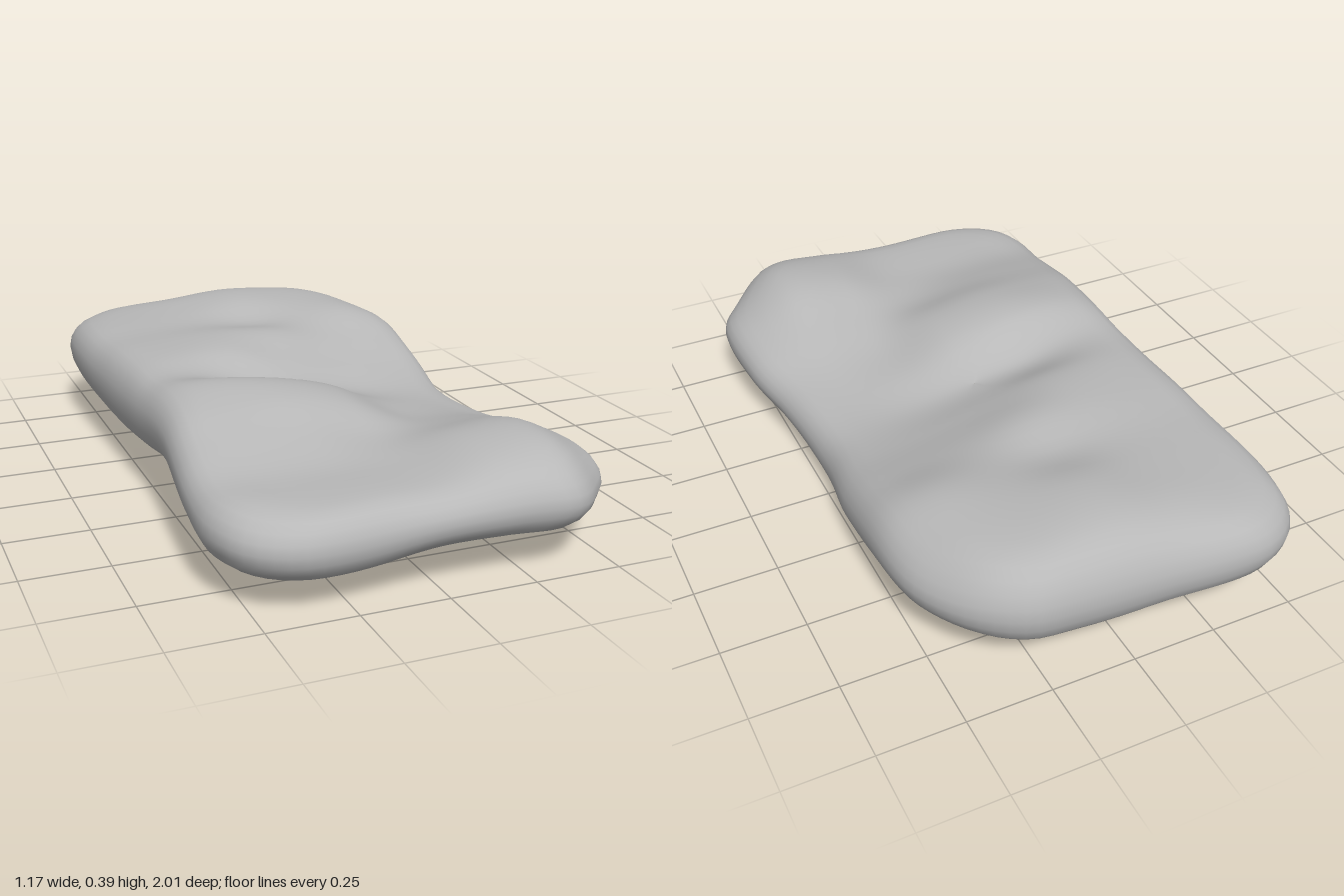
import * as THREE from 'three';

// Coarse height fields: rows run z = -1..1, columns run x = -0.54..0.54 (hundredths)
const TOP = [
  [30, 32, 32, 33, 33, 32, 27],
  [32, 34, 36, 38, 37, 34.5, 28],
  [33, 34.5, 36, 38, 37, 35.5, 29.5],
  [33, 34.5, 35, 34, 35, 35, 30.5],
  [34, 35.5, 36.5, 35.5, 32, 29.5, 27],
  [34, 35.5, 35, 31, 27, 24.5, 22.5],
  [34.5, 33.5, 29, 26.5, 23, 21.5, 20],
  [35.5, 37.3, 36, 32, 24.5, 21.5, 20],
  [34.5, 35.5, 35.5, 32, 25, 23.5, 20.5],
  [30.5, 31, 30, 27.5, 27.5, 28, 23.5],
  [27, 27, 26.5, 27, 31.5, 32.5, 25],
  [27, 26.5, 26.5, 27, 31, 32, 24],
  [26, 26, 26, 26, 27, 27, 21],
];
const BOTTOM = [
  [13, 12, 11, 10, 10, 11, 14],
  [12, 11.5, 11, 10, 10, 10, 12],
  [11, 12, 12, 10, 9, 9, 10],
  [10, 11, 11, 9, 6, 4, 5],
  [12, 13, 11, 5, 1, 0, 2],
  [15, 15, 13, 9, 5, 4, 5],
  [12, 12, 12, 10, 8, 7, 8],
  [9, 8.5, 9, 10, 10, 8.5, 9],
  [8.5, 8.5, 9, 11.5, 11.5, 11, 10],
];

// Smooth one-dimensional interpolation through evenly spaced values
function spline(values, u) {
  const n = values.length - 1;
  const t = THREE.MathUtils.clamp(u, 0, 1) * n;
  const i = Math.min(Math.floor(t), n - 1), f = t - i;
  const at = (k) => values[THREE.MathUtils.clamp(k, 0, n)];
  const a = at(i - 1), b = at(i), c = at(i + 1), d = at(i + 2);
  return b + 0.5 * f * (c - a + f * (2 * a - 5 * b + 4 * c - d + f * (3 * (b - c) + d - a)));
}
const height = (grid, x, z) =>
  spline(grid.map((row) => spline(row, (x + 0.54) / 1.08)), (z + 1) / 2) / 100;

// Footprint of the slab
const OUTLINE = [
  [-0.41, -1], [-0.1, -0.985], [0.15, -0.97], [0.3, -0.95], [0.42, -0.87], [0.51, -0.73],
  [0.54, -0.6], [0.535, -0.25], [0.505, 0], [0.53, 0.3], [0.575, 0.5], [0.575, 0.77],
  [0.5, 0.88], [0.38, 0.99], [0.2, 0.99], [-0.1, 0.983], [-0.4, 0.988], [-0.52, 0.92],
  [-0.575, 0.8], [-0.575, 0.6], [-0.545, 0.25], [-0.55, -0.1], [-0.565, -0.8], [-0.53, -0.92],
];

// Rounded rim: [inset from the footprint, height between bottom (0) and top (1)]
const RIM = [
  [0.1, 1], [0.065, 0.975], [0.038, 0.91], [0.018, 0.8], [0.005, 0.66], [0, 0.5],
  [0.005, 0.33], [0.019, 0.17], [0.042, 0.05], [0.075, 0],
];

function slabGeometry() {
  const curve = new THREE.CatmullRomCurve3(
    OUTLINE.map(([x, z]) => new THREE.Vector3(x, 0, z)), true, 'centripetal');
  const segments = 144, inner = 22;
  const edge = curve.getSpacedPoints(segments).slice(0, segments);

  // Rings from the top centre, over the rim, to the bottom centre
  const rings = [];
  for (let i = 0; i < inner; i++) rings.push([RIM[0][0], 1, Math.max(i / inner, 0.001)]);
  RIM.forEach(([inset, h]) => rings.push([inset, h, 1]));
  for (let i = inner - 1; i >= 0; i--) rings.push([RIM.at(-1)[0], 0, Math.max(i / inner, 0.001)]);

  const positions = [], index = [];
  rings.forEach(([inset, h, scale], r) => {
    edge.forEach((p, j) => {
      const x = p.x * (1 - inset / 0.56) * scale;
      const z = p.z * (1 - inset) * scale;
      const y = THREE.MathUtils.lerp(height(BOTTOM, x, z), height(TOP, x, z), h);
      positions.push(x, y, z);
      if (r === 0) return;
      const k = (j + 1) % segments;
      const a = (r - 1) * segments + j, b = r * segments + j;
      const c = r * segments + k, d = (r - 1) * segments + k;
      index.push(a, c, b, a, d, c);
    });
  });

  const geometry = new THREE.BufferGeometry();
  geometry.setAttribute('position', new THREE.Float32BufferAttribute(positions, 3));
  geometry.setIndex(index);
  geometry.computeBoundingBox();
  geometry.translate(0, -geometry.boundingBox.min.y, 0);
  geometry.computeVertexNormals();
  return geometry;
}

export function createModel() {
  const stone = new THREE.MeshStandardMaterial({ color: 0xb8b8b8 });
  stone.name = 'stone grey';

  const group = new THREE.Group();
  group.name = 'rockSlab';
  const slab = new THREE.Mesh(slabGeometry(), stone);
  slab.name = 'slab';
  group.add(slab);
  return group;
}
